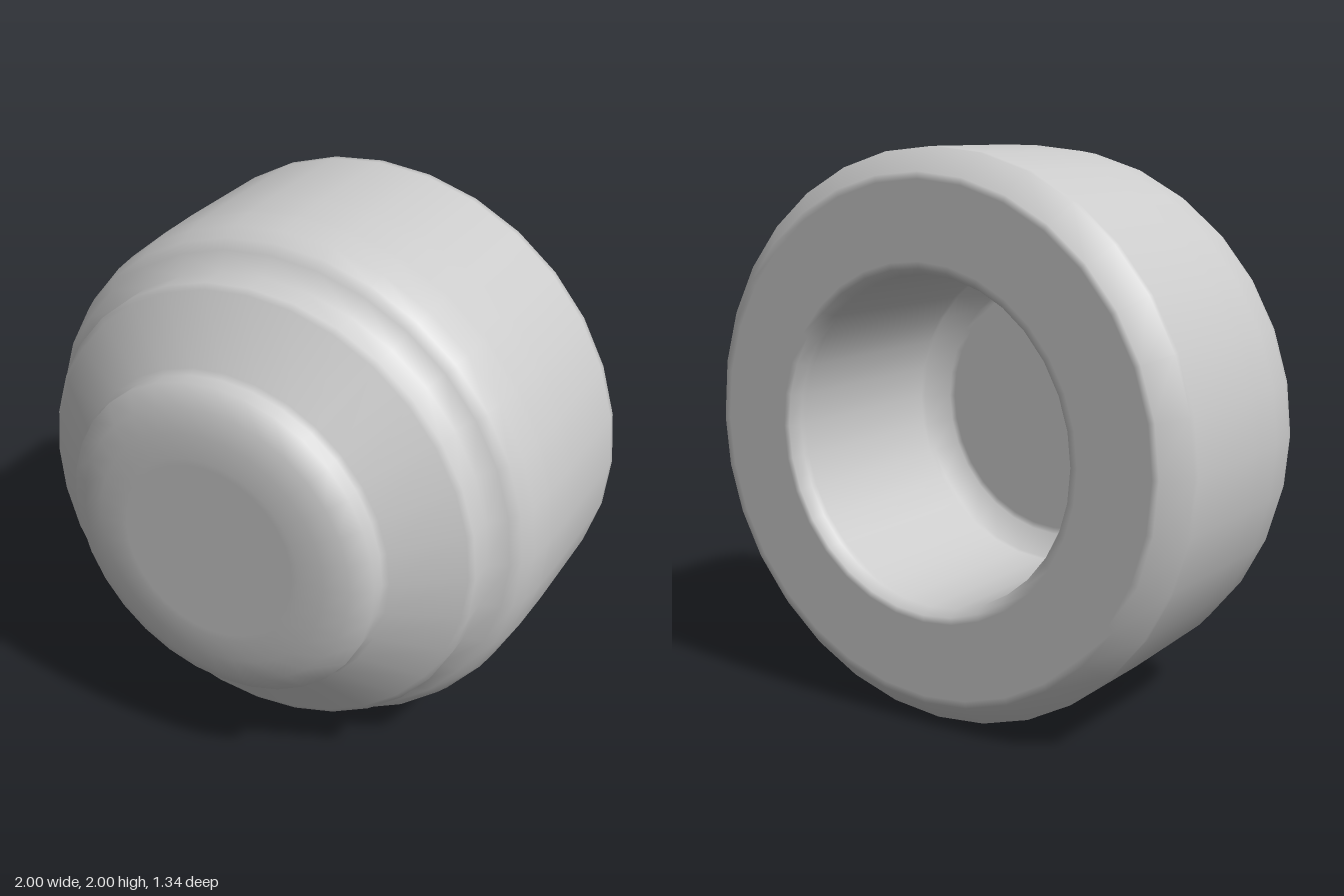
import * as THREE from 'three';

// Adds points close to both ends of long segments so smooth shading stays tight at the edges
function supportEdges(profile, gap = 0.025) {
  const points = profile.map(([r, z]) => new THREE.Vector2(r, z));
  const out = [points[0]];
  for (let i = 1; i < points.length; i++) {
    const a = points[i - 1], b = points[i];
    const length = a.distanceTo(b);
    if (length > 0.12) {
      out.push(a.clone().lerp(b, gap / length), b.clone().lerp(a, gap / length));
    }
    out.push(b);
  }
  return out;
}

export function createModel() {
  const group = new THREE.Group();
  group.name = 'steppedCap';

  // Closed profile as [radius, z], from the floor of the bore round to the front centre
  const profile = [
    // blind bore
    [0, 0.16], [0.5, 0.16], [0.58, 0.1], [0.58, -0.63], [0.6, -0.67],
    // back rim and chamfer
    [0.92, -0.67], [1, -0.59],
    // barrel with rounded front shoulder
    [1, -0.15], [0.995, 0.04], [0.983, 0.14], [0.962, 0.2], [0.93, 0.23],
    // collar and cone
    [0.865, 0.27], [0.865, 0.365], [0.607, 0.545],
    // domed button
    [0.607, 0.6], [0.535, 0.642], [0.45, 0.664], [0.36, 0.67], [0, 0.67],
  ];

  const geometry = new THREE.LatheGeometry(supportEdges(profile), 32);
  geometry.rotateX(Math.PI / 2);
  const body = new THREE.Mesh(geometry, new THREE.MeshStandardMaterial({ color: 0xcccccc }));
  body.name = 'capBody';
  body.position.y = 1;
  group.add(body);
  return group;
}
